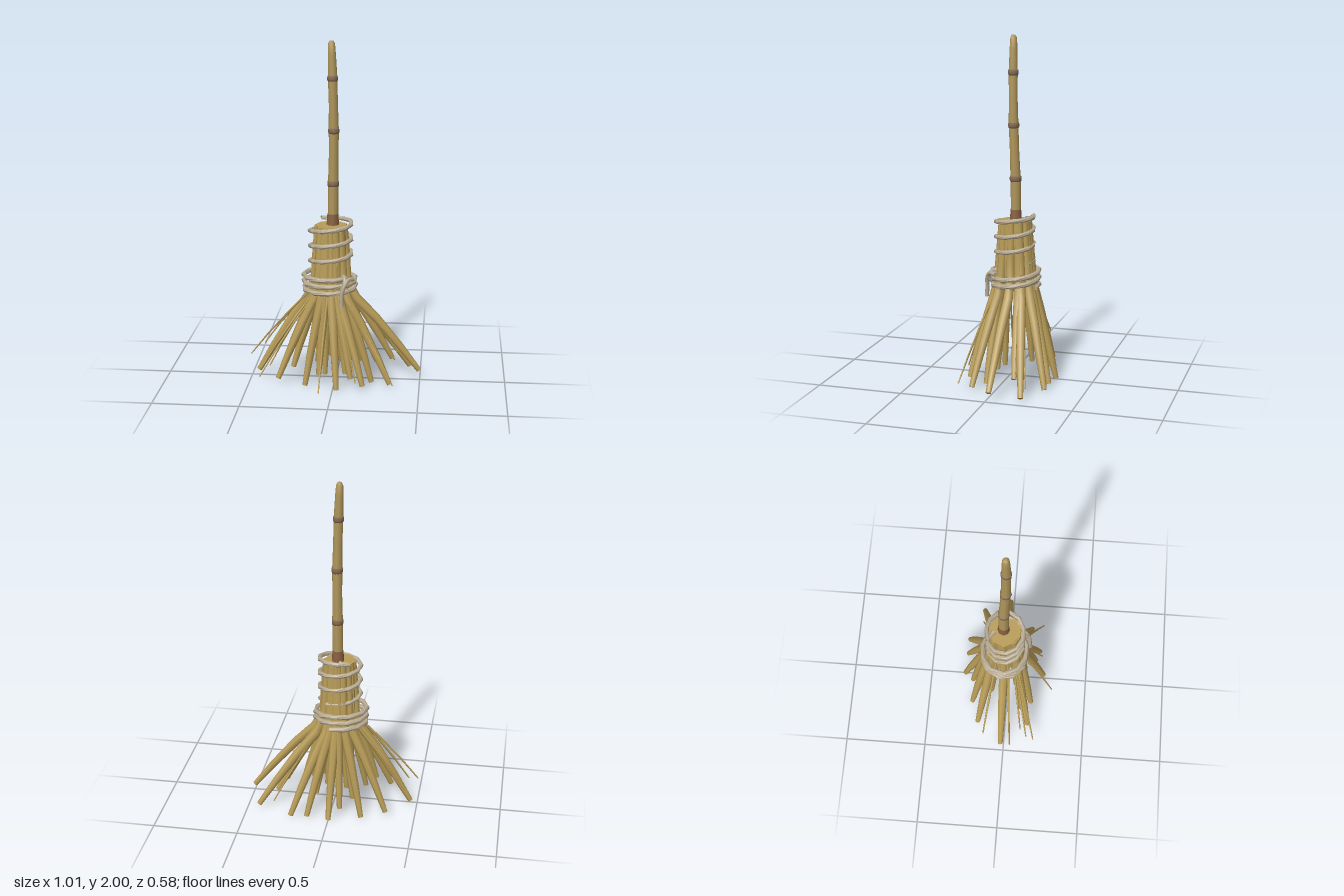
import * as THREE from 'three';
import { toCreasedNormals } from 'three/addons/utils/BufferGeometryUtils.js';

const V = (x, y, z) => new THREE.Vector3(x, y, z);
const P = Math.PI;
const CX = -0.029, CZ = -0.022; // axis of the bundle

const mat = (name, color) => {
  const m = new THREE.MeshStandardMaterial({ color });
  m.name = name;
  return m;
};

// Closed round rod: a lathe profile of [radius, 0..1] bent along an upward curve
function rod(points, profile, sides) {
  const curve = new THREE.CatmullRomCurve3(points);
  const geo = new THREE.LatheGeometry(profile.map(([r, u]) => new THREE.Vector2(r, u)), sides);
  const pos = geo.attributes.position, q = new THREE.Quaternion(), up = V(0, 1, 0);
  for (let i = 0; i < pos.count; i++) {
    const u = pos.getY(i);
    q.setFromUnitVectors(up, curve.getTangentAt(u));
    const p = V(pos.getX(i), 0, pos.getZ(i)).applyQuaternion(q).add(curve.getPointAt(u));
    pos.setXYZ(i, p.x, p.y, p.z);
  }
  return toCreasedNormals(geo, 1.2);
}

// Rope: constant-radius rod with closed ends
function rope(points, radius, steps) {
  const profile = [[0, 0]];
  for (let i = 0; i <= steps; i++) profile.push([radius, i / steps]);
  profile.push([0, 1]);
  return rod(points, profile, 7);
}

// Winding that climbs from the left side across the front to the right
function winding(t0, t1, rx, rz, yAt, cx, cz) {
  const pts = [], n = Math.round((t1 - t0) / (P / 5.5));
  for (let i = 0; i <= n; i++) {
    const t = t0 + (t1 - t0) * i / n;
    pts.push(V(cx - rx * Math.cos(t), yAt(t), cz + rz * Math.sin(t)));
  }
  return pts;
}

export function createModel() {
  const broom = new THREE.Group();
  broom.name = 'broom';
  const straw = mat('straw', 0xb99d58);
  const wood = mat('handle wood', 0xb0965a);
  const node = mat('node brown', 0x836a54);
  const collar = mat('collar brown', 0x8a6142);
  const cord = mat('rope', 0xb7aa92);
  const add = (name, geo, material, parent = broom) => {
    const m = new THREE.Mesh(geo, material);
    m.name = name;
    parent.add(m);
    return m;
  };

  // Handle, slightly crooked, with brown nodes and a collar
  const spine = [V(-0.019, 0.9, -0.028), V(-0.016, 1.18, -0.027), V(-0.012, 1.49, -0.016),
    V(-0.018, 1.79, -0.012), V(-0.025, 2, -0.013)];
  add('handle', rod(spine, [[0, 0], [0.032, 0], [0.03, 0.13], [0.031, 0.25], [0.028, 0.4], [0.029, 0.54],
    [0.026, 0.68], [0.027, 0.81], [0.023, 0.93], [0.02, 0.985], [0.012, 1], [0, 1]], 8), wood);
  [[1, 0.035], [2, 0.033], [3, 0.031]].forEach(([i, r]) => {
    const profile = [[0, -0.016], [r - 0.003, -0.016], [r, -0.007], [r, 0.007], [r - 0.003, 0.016], [0, 0.016]];
    const ring = add('handleNode', new THREE.LatheGeometry(profile.map(p => new THREE.Vector2(...p)), 9), node);
    ring.position.copy(spine[i]);
  });
  const base = add('handleCollar', new THREE.CylinderGeometry(0.032, 0.037, 0.08, 8), collar);
  base.position.set(-0.019, 0.96, -0.028);

  // Core that fills the bound bundle
  const core = add('bundleCore', new THREE.CylinderGeometry(0.088, 0.1, 0.4, 14), straw);
  core.position.set(CX, 0.735, CZ);

  // Bristles: tip x, y, z
  const bristles = new THREE.Group();
  bristles.name = 'bristles';
  broom.add(bristles);
  const thick = [
    [0.494, 0.055, -0.02], [0.434, 0.02, -0.188], [0.228, 0.01, -0.27], [0.13, 0.015, -0.27],
    [0, 0.008, -0.28], [-0.06, 0.06, -0.225], [-0.187, 0.008, -0.22], [-0.327, 0.03, -0.175],
    [-0.46, 0.03, -0.02], [-0.325, 0.04, 0.143], [-0.167, 0.006, 0.155], [-0.09, 0.06, 0.12],
    [0.022, 0.01, 0.225], [0.1, 0.06, 0.17], [0.172, 0.025, 0.193], [0.327, 0.02, 0.133],
    [0.218, 0.01, 0.08], [0.33, 0.09, -0.12], [-0.24, 0.1, 0.1],
  ];
  const inner = [[0.1, 0.08, -0.1], [-0.12, 0.06, -0.1], [-0.06, 0.04, 0.05], [0.06, 0.05, 0.06]];
  const thin = [
    [-0.498, 0.15, 0.04], [-0.44, 0.16, -0.13], [-0.425, 0.1, 0.14], [-0.43, 0.06, 0.185],
    [-0.38, 0.1, 0.1], [-0.075, 0.01, 0.285], [0.348, 0.04, 0.207], [0.343, 0.05, -0.19],
    [0.36, 0.12, -0.14], [0.133, 0.05, 0.21],
  ];
  const bristle = (name, [x, y, z], neck, scale) => {
    const a = Math.atan2((z - CZ) / 0.25, (x - CX) / 0.48);
    const at = (r, h) => V(CX + r * Math.cos(a), h, CZ + r * Math.sin(a));
    const low = at(neck, 0.56), tip = V(x, y, z);
    const mid = low.clone().lerp(tip, 0.5);
    mid.y += 0.015;
    const profile = [[0, 0], [0.0155, 0], [0.022, 0.18], [0.027, 0.4], [0.0285, 0.56],
      [0.027, 0.68], [0.024, 0.82], [0.02, 1], [0, 1]].map(([r, u]) => [r * scale, u]);
    add(name, rod([tip, mid, low, at(neck * 0.85, 0.74), at(neck * 0.74, 0.932)], profile, scale < 0.5 ? 6 : 7),
      straw, bristles);
  };
  thick.forEach(t => bristle('thickBristle', t, 0.105, 1));
  inner.forEach(t => bristle('innerBristle', t, 0.06, 0.95));
  thin.forEach(t => bristle('thinTwig', t, 0.115, 0.25));

  // Upper rope, spiralling up and tucked in at the end
  const upper = winding(-4.7 * P, 1.68 * P, 0.122, 0.109,
    t => Math.min(0.952, 0.9 + 0.09 * t / (2 * P)), -0.03, -0.019);
  upper.unshift(V(-0.01, 0.7, -0.09));
  upper.push(V(-0.04, 0.946, -0.085));
  add('upperRope', rope(upper, 0.0135, upper.length - 1), cord);

  // Lower rope wound three times round the neck
  const lower = winding(1.4 * P, 6.75 * P, 0.153, 0.135,
    t => 0.56 + 0.02 * (t / P - 2.5) + 0.008 * Math.cos(t + 1.2), -0.037, -0.023);
  add('lowerRope', rope(lower, 0.015, lower.length - 1), cord);

  // Hanging rope tail and knot at the front
  add('ropeTail', rope([V(0.045, 0.485, 0.13), V(0.045, 0.54, 0.126), V(0.057, 0.6, 0.122),
    V(0.078, 0.635, 0.1), V(0.107, 0.632, 0.06)], 0.0125, 12), cord);
  add('ropeKnot', rope([V(0.045, 0.58, 0.098), V(0.058, 0.605, 0.112), V(0.062, 0.642, 0.095), V(0.052, 0.65, 0.065)],
    0.0125, 8), cord);
  return broom;
}
